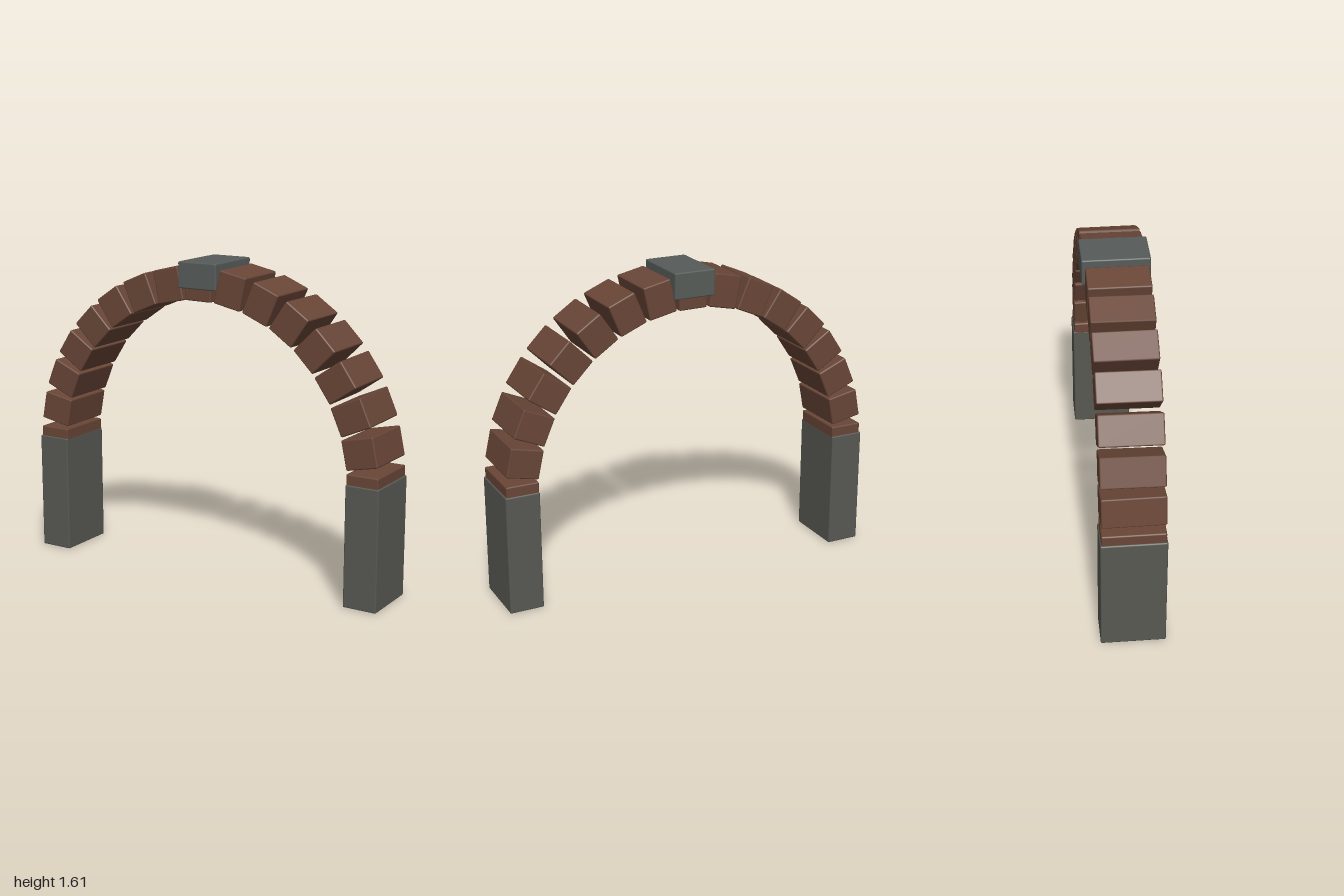
import * as THREE from 'three';
import { RoundedBoxGeometry } from 'three/addons/geometries/RoundedBoxGeometry.js';

const material = (name, color) => {
  const m = new THREE.MeshStandardMaterial({ color });
  m.name = name;
  return m;
};

// Small seeded generator in -1..1 for hand-laid irregularity
function seeded(seed) {
  return () => {
    seed = (seed * 16807) % 2147483647;
    return (seed / 2147483647) * 2 - 1;
  };
}

export function createModel() {
  const group = new THREE.Group();
  group.name = 'brickArch';
  const brick = material('brown brick', 0x694637);
  const stone = material('grey stone', 0x585953);
  const capStone = material('keystone grey', 0x565c59);
  const rand = seeded(41);

  const block = (name, w, h, d, x, y, z, mat) => {
    const mesh = new THREE.Mesh(new RoundedBoxGeometry(w, h, d, 1, 0.007), mat);
    mesh.name = name;
    mesh.position.set(x, y, z);
    group.add(mesh);
    return mesh;
  };

  // Ring of bricks over a half circle, the end bricks sunk into the posts
  const radius = 0.908, centreY = 0.59, count = 17;
  for (let i = 0; i < count; i++) {
    const a = (Math.PI * i) / (count - 1);
    const b = block('archBrick' + (i + 1), 0.168, 0.148, 0.304,
      radius * Math.cos(a), centreY + radius * Math.sin(a), 0.001, brick);
    if (i > 0 && i < count - 1) {
      b.rotation.set(rand() * 0.008, rand() * 0.012, a + rand() * 0.02);
    }
  }

  // Stone posts
  for (const side of [1, -1]) {
    block(side > 0 ? 'leftPost' : 'rightPost', 0.176, 0.612, 0.315, side * 0.911, 0.306, 0.001, stone);
  }

  // Keystone saddled over the top brick
  block('keystone', 0.217, 0.132, 0.33, -0.002, 1.54, -0.002, capStone);

  return group;
}
